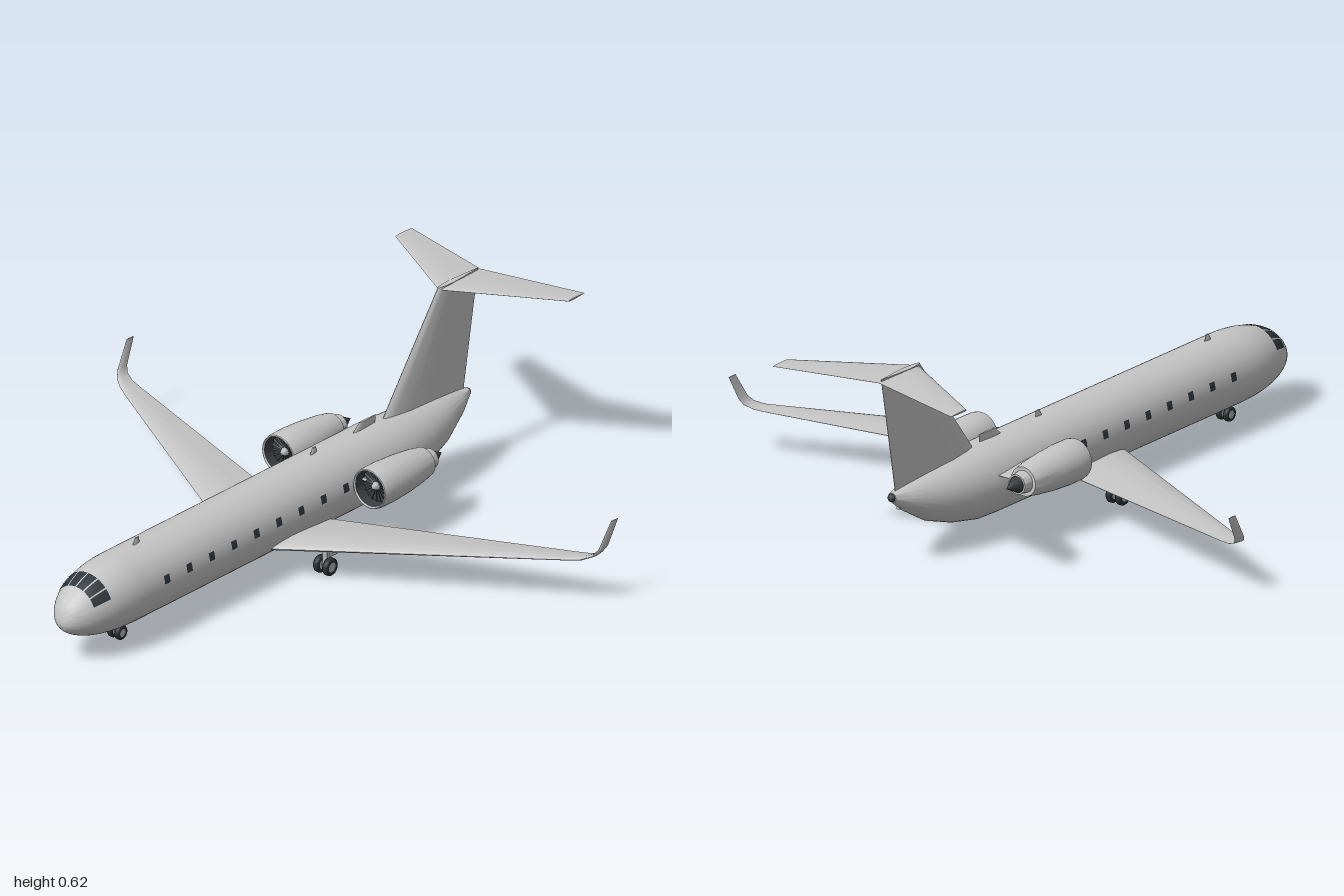
import * as THREE from 'three';
import { toCreasedNormals } from 'three/addons/utils/BufferGeometryUtils.js';

const mat = (name, color, side = THREE.FrontSide) => {
  const m = new THREE.MeshStandardMaterial({ color, side });
  m.name = name;
  return m;
};
const V = (x, y, z) => new THREE.Vector3(x, y, z);

// Closed skin through equal-sized rings of points, capped at both ends
function loft(rings, crease = 0.7) {
  const n = rings[0].length, pos = [], idx = [];
  rings.forEach(r => r.forEach(p => pos.push(p.x, p.y, p.z)));
  for (let i = 0; i < rings.length - 1; i++)
    for (let j = 0; j < n; j++) {
      const a = i * n + j, b = i * n + (j + 1) % n;
      idx.push(a, b, a + n, b, b + n, a + n);
    }
  [0, rings.length - 1].forEach(i => {
    const c = pos.length / 3, m = V(0, 0, 0);
    rings[i].forEach(p => m.addScaledVector(p, 1 / n));
    pos.push(m.x, m.y, m.z);
    for (let j = 0; j < n; j++) {
      const a = i * n + j, b = i * n + (j + 1) % n;
      i === 0 ? idx.push(c, b, a) : idx.push(c, a, b);
    }
  });
  // Turn every face outward, whichever way the rings run
  let vol = 0;
  const at = k => V(pos[3 * k], pos[3 * k + 1], pos[3 * k + 2]);
  for (let k = 0; k < idx.length; k += 3) vol += at(idx[k]).dot(at(idx[k + 1]).cross(at(idx[k + 2])));
  if (vol < 0) idx.reverse();
  const g = new THREE.BufferGeometry();
  g.setAttribute('position', new THREE.Float32BufferAttribute(pos, 3));
  g.setIndex(idx);
  return toCreasedNormals(g, crease);
}

// Streamlined ring from leading to trailing edge; thick is the full thickness vector
const FOIL = [[0, 0], [0.025, 0.2], [0.1, 0.36], [0.3, 0.5], [0.6, 0.36], [1, 0.03]];
function section(le, te, thick) {
  const half = s => FOIL.map(([t, h]) => le.clone().lerp(te, t).addScaledVector(thick, s * h));
  return [...half(1), ...half(-1).slice(1).reverse()];
}

// Fuselage outline at z: half width, top and bottom
const TAIL = [[-0.42, 0.112, 0.284, 0.056], [-0.5, 0.108, 0.281, 0.058], [-0.6, 0.096, 0.275, 0.078],
  [-0.7, 0.074, 0.267, 0.112], [-0.8, 0.04, 0.254, 0.172], [-0.855, 0.015, 0.245, 0.215]];
function outline(z) {
  if (z > 0.73) {
    const s = Math.sqrt(Math.max(0, 1 - Math.pow((z - 0.73) / 0.27, 2.2)));
    return [0.112 * s, 0.145 + 0.139 * s, 0.145 - 0.089 * s];
  }
  if (z >= -0.42) return [0.112, 0.284, 0.056];
  let i = 0;
  while (i < TAIL.length - 2 && z < TAIL[i + 1][0]) i++;
  const a = TAIL[i], b = TAIL[i + 1], t = (z - a[0]) / (b[0] - a[0]);
  return [1, 2, 3].map(k => a[k] + (b[k] - a[k]) * t);
}
function skin(z, a, lift = 0) {
  const [w, top, bot] = outline(z);
  return V((w + lift) * Math.sin(a), (top + bot) / 2 + ((top - bot) / 2 + lift) * Math.cos(a), z);
}

export function createModel() {
  const root = new THREE.Group();
  root.name = 'jetAirliner';
  const body = mat('light grey paint', 0xc6c6c6);
  const glass = mat('dark glass', 0x30363c, THREE.DoubleSide);
  const dark = mat('dark metal', 0x3a3d40, THREE.DoubleSide);
  const rubber = mat('tyre rubber', 0x2a2f33);
  const metal = mat('hub metal', 0xb4b8ba);
  const add = (parent, name, geo, m, x = 0, y = 0, z = 0) => {
    const o = new THREE.Mesh(geo, m);
    o.name = name;
    o.position.set(x, y, z);
    parent.add(o);
    return o;
  };

  // Fuselage
  const zs = TAIL.map(r => r[0]).reverse();
  zs.push(-0.1, 0.3, 0.6);
  for (let i = 0; i <= 18; i++) zs.push(0.73 + 0.2699 * Math.sin(i / 18 * Math.PI / 2));
  const ring = z => Array.from({ length: 48 }, (_, j) => skin(z, j / 48 * Math.PI * 2));
  add(root, 'fuselage', loft(zs.map(ring), 0.9), body);
  add(root, 'tailLamp', new THREE.SphereGeometry(0.013, 12, 8), dark, 0, 0.23, -0.856);
  add(root, 'tailSkid', new THREE.BoxGeometry(0.008, 0.03, 0.025), body, 0, 0.2, -0.815);

  // Windows: thin patches following the skin
  const pane = (name, z0, z1, a0, a1) => {
    const g = new THREE.PlaneGeometry(1, 1, 4, 4), p = g.attributes.position;
    for (let i = 0; i < p.count; i++) {
      const q = skin(z0 + (z1 - z0) * (p.getX(i) + 0.5), a0 + (a1 - a0) * (p.getY(i) + 0.5), 0.002);
      p.setXYZ(i, q.x, q.y, q.z);
    }
    g.computeVertexNormals();
    add(root, name, g, glass);
  };
  for (const s of [1, -1])
    for (let i = 0; i < 9; i++) {
      const z = 0.642 - i * 0.1023;
      pane('cabinWindow', z - 0.012, z + 0.012, s * 1.23, s * 1.46);
    }
  for (let i = -3; i < 3; i++) pane('cockpitWindow', 0.875, 0.932, i * 0.39 + 0.025, i * 0.39 + 0.365);

  // Fin, dorsal inlet and blade aerials
  const up = (name, list) => add(root, name,
    loft(list.map(([y, le, te, t]) => section(V(0, y, le), V(0, y, te), V(t, 0, 0)))), body);
  up('fin', [[0.235, -0.44, -0.838, 0.038], [0.28, -0.472, -0.846, 0.034], [0.622, -0.724, -0.907, 0.02]]);
  up('dorsalInlet', [[0.275, -0.325, -0.435, 0.01], [0.308, -0.365, -0.44, 0.008]]);
  up('topAerial', [[0.275, 0.675, 0.64, 0.008], [0.303, 0.66, 0.643, 0.006]]);
  up('topAerial', [[0.275, -0.135, -0.17, 0.008], [0.303, -0.15, -0.167, 0.006]]);
  up('bellyAerial', [[0.065, 0.26, 0.225, 0.008], [0.036, 0.245, 0.228, 0.006]]);

  // Wheel: tyre with a hub showing on both sides, axle along x
  const wheel = (parent, x, y, z, r, w) => {
    const tyre = [[r * 0.55, -w / 2], [r * 0.88, -w / 2], [r, -w * 0.28], [r, w * 0.28], [r * 0.88, w / 2], [r * 0.55, w / 2]];
    const g = new THREE.Group();
    g.name = 'wheel';
    add(g, 'tyre', new THREE.LatheGeometry(tyre.map(p => new THREE.Vector2(...p)), 24), rubber);
    add(g, 'hub', new THREE.CylinderGeometry(r * 0.56, r * 0.56, w * 0.9, 20), metal);
    g.position.set(x, y, z);
    g.rotation.z = Math.PI / 2;
    parent.add(g);
  };
  add(root, 'noseStrut', new THREE.CylinderGeometry(0.006, 0.006, 0.06, 12), metal, 0, 0.052, 0.742);
  add(root, 'noseAxle', new THREE.BoxGeometry(0.028, 0.007, 0.007), metal, 0, 0.026, 0.742);

  for (const s of [1, -1]) {
    // Wing curving up into its winglet: x, y, leading z, trailing z, thickness, tilt
    const wing = [[0.03, 0.103, 0.181, -0.105, 0.034, 0], [0.86, 0.152, -0.294, -0.366, 0.012, 0.06],
      [0.905, 0.156, -0.322, -0.38, 0.01, 0.3], [0.934, 0.168, -0.343, -0.392, 0.008, 0.9],
      [0.945, 0.187, -0.36, -0.402, 0.007, 1.4], [0.952, 0.266, -0.408, -0.441, 0.004, 1.5]];
    add(root, 'wing', loft(wing.map(([x, y, le, te, t, a]) =>
      section(V(s * x, y, le), V(s * x, y, te), V(-s * t * Math.sin(a), t * Math.cos(a), 0)))), body);
    // Flat surfaces: x, y, leading z, trailing z, thickness
    const flat = (name, list) => add(root, name, loft(list.map(([x, y, le, te, t]) =>
      section(V(s * x, y, le), V(s * x, y, te), V(0, t, 0)))), body);
    flat('tailplane', [[0, 0.614, -0.728, -0.918, 0.013], [0.34, 0.611, -0.925, -1, 0.006]]);
    flat('enginePylon', [[0.08, 0.212, -0.23, -0.475, 0.026], [0.14, 0.208, -0.23, -0.468, 0.026]]);

    // Engine, turned about the z axis
    const engine = new THREE.Group();
    engine.name = 'engine';
    engine.position.set(s * 0.179, 0.204, 0);
    root.add(engine);
    const turned = (name, pts, m) => {
      const g = new THREE.LatheGeometry(pts.map(p => new THREE.Vector2(...p)), 36);
      add(engine, name, toCreasedNormals(g.rotateX(Math.PI / 2), 0.7), m);
    };
    turned('nacelle', [[0.032, -0.45], [0.046, -0.451], [0.054, -0.41], [0.062, -0.34], [0.066, -0.27],
      [0.0655, -0.215], [0.063, -0.202], [0.06, -0.2], [0.057, -0.204]], body);
    turned('intakeDuct', [[0.057, -0.204], [0.053, -0.24], [0, -0.241]], dark);
    turned('nozzle', [[0.024, -0.483], [0.031, -0.483], [0.035, -0.449]], body);
    turned('exhaustCone', [[0, -0.533], [0.026, -0.483], [0.026, -0.478]], dark);
    turned('spinner', [[0.015, -0.24], [0.012, -0.228], [0.006, -0.218], [0, -0.215]], metal);
    for (let i = 0; i < 18; i++) {
      const blade = new THREE.BoxGeometry(0.006, 0.04, 0.001).rotateY(0.6).translate(0, 0.032, -0.235);
      add(engine, 'fanBlade', blade.rotateZ(i / 18 * Math.PI * 2), dark);
    }

    // Landing gear
    wheel(root, s * 0.014, 0.026, 0.742, 0.023, 0.017);
    for (const x of [0.162, 0.198]) wheel(root, s * x, 0.028, 0, 0.028, 0.019);
    add(root, 'mainStrut', new THREE.CylinderGeometry(0.008, 0.008, 0.085, 12), metal, s * 0.18, 0.069, 0);
    add(root, 'mainAxle', new THREE.BoxGeometry(0.036, 0.008, 0.008), metal, s * 0.18, 0.028, 0);
    add(root, 'gearDoor', new THREE.BoxGeometry(0.003, 0.042, 0.038), body, s * 0.21, 0.09, 0);
  }
  return root;
}
